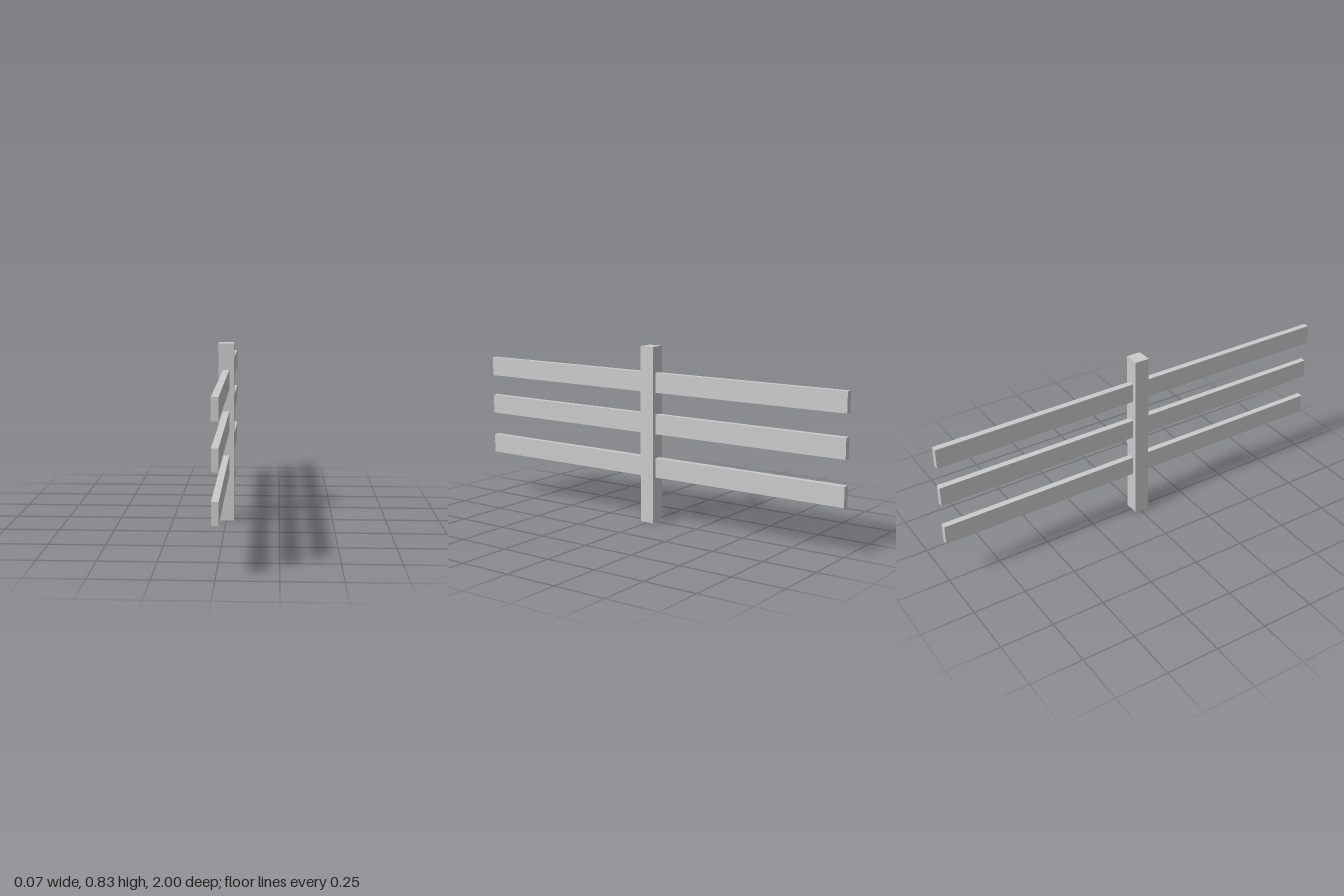
import * as THREE from 'three';

export function createModel() {
  const group = new THREE.Group();
  group.name = 'fenceSection';
  const material = new THREE.MeshStandardMaterial({ color: 0xcccccc, flatShading: true });

  function addBox(name, width, height, depth, y, z = 0) {
    const mesh = new THREE.Mesh(new THREE.BoxGeometry(width, height, depth), material);
    mesh.name = name;
    mesh.position.set(0, y, z);
    group.add(mesh);
  }

  // Upright post, standing on the ground
  const postHeight = 0.834;
  addBox('post', 0.073, postHeight, 0.07, postHeight / 2, 0.005);

  // Three horizontal rails running through the post
  const rails = [['lowerRail', 0.264], ['middleRail', 0.471], ['upperRail', 0.666]];
  for (const [name, y] of rails) addBox(name, 0.029, 0.093, 2, y);

  return group;
}
